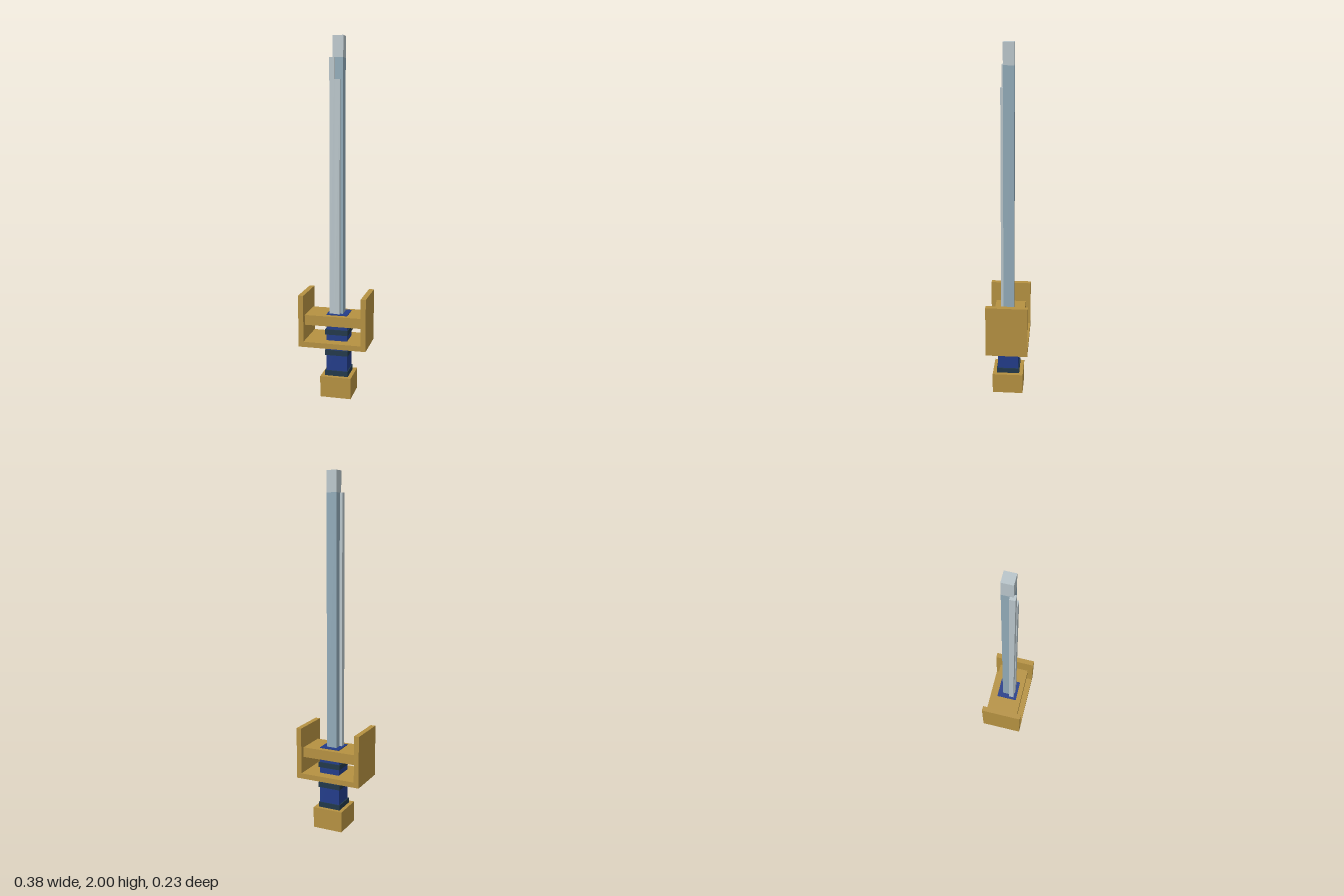
import * as THREE from 'three';

const flat = (name, color) => {
  const m = new THREE.MeshStandardMaterial({ color });
  m.name = name;
  return m;
};

export function createModel() {
  const gold = flat('gold', 0xb59141);
  const blue = flat('grip blue', 0x223c89);
  const dark = flat('dark band', 0x21384a);
  const light = flat('light steel', 0xb9c5ca);
  const steel = flat('blue steel', 0x91aab8);

  const model = new THREE.Group();
  model.name = 'sword';

  // Box given by its low and high limits on each axis
  const box = (name, material, [x0, x1], [y0, y1], [z0, z1]) => {
    const mesh = new THREE.Mesh(new THREE.BoxGeometry(x1 - x0, y1 - y0, z1 - z0), material);
    mesh.position.set((x0 + x1) / 2, (y0 + y1) / 2, (z0 + z1) / 2);
    mesh.name = name;
    model.add(mesh);
  };

  // Pommel and grip
  box('pommel', gold, [-0.074, 0.102], [0, 0.12], [-0.088, 0.088]);
  box('grip', blue, [-0.045, 0.074], [0.12, 0.476], [-0.06, 0.058]);

  // Bands around the grip
  for (const y of [0.12, 0.24, 0.36]) {
    box('gripBand', dark, [-0.052, 0.08], [y, y + 0.029], [-0.066, 0.065]);
  }

  // Guard: lower plate, cross bar and two upright sides
  box('guardPlate', gold, [-0.163, 0.163], [0.295, 0.325], [-0.118, 0.117]);
  box('crossBar', gold, [-0.163, 0.163], [0.415, 0.472], [-0.09, 0.087]);
  for (const s of [-1, 1]) {
    const xs = [s * 0.163, s * 0.192].sort((a, b) => a - b);
    box(s > 0 ? 'guardSideLeft' : 'guardSideRight', gold, xs, [0.295, 0.59], [-0.118, 0.117]);
  }

  // Blade core with a pale tip
  box('blade', steel, [-0.016, 0.043], [0.47, 1.885], [-0.031, 0.028]);
  box('bladeTip', light, [-0.016, 0.043], [1.885, 2], [-0.031, 0.028]);

  // Stepped pale edges on the front of the blade
  box('longEdge', light, [-0.031, -0.002], [0.47, 1.885], [0.01, 0.039]);
  box('shortEdge', light, [-0.002, 0.028], [0.47, 1.77], [0.013, 0.043]);

  return model;
}
